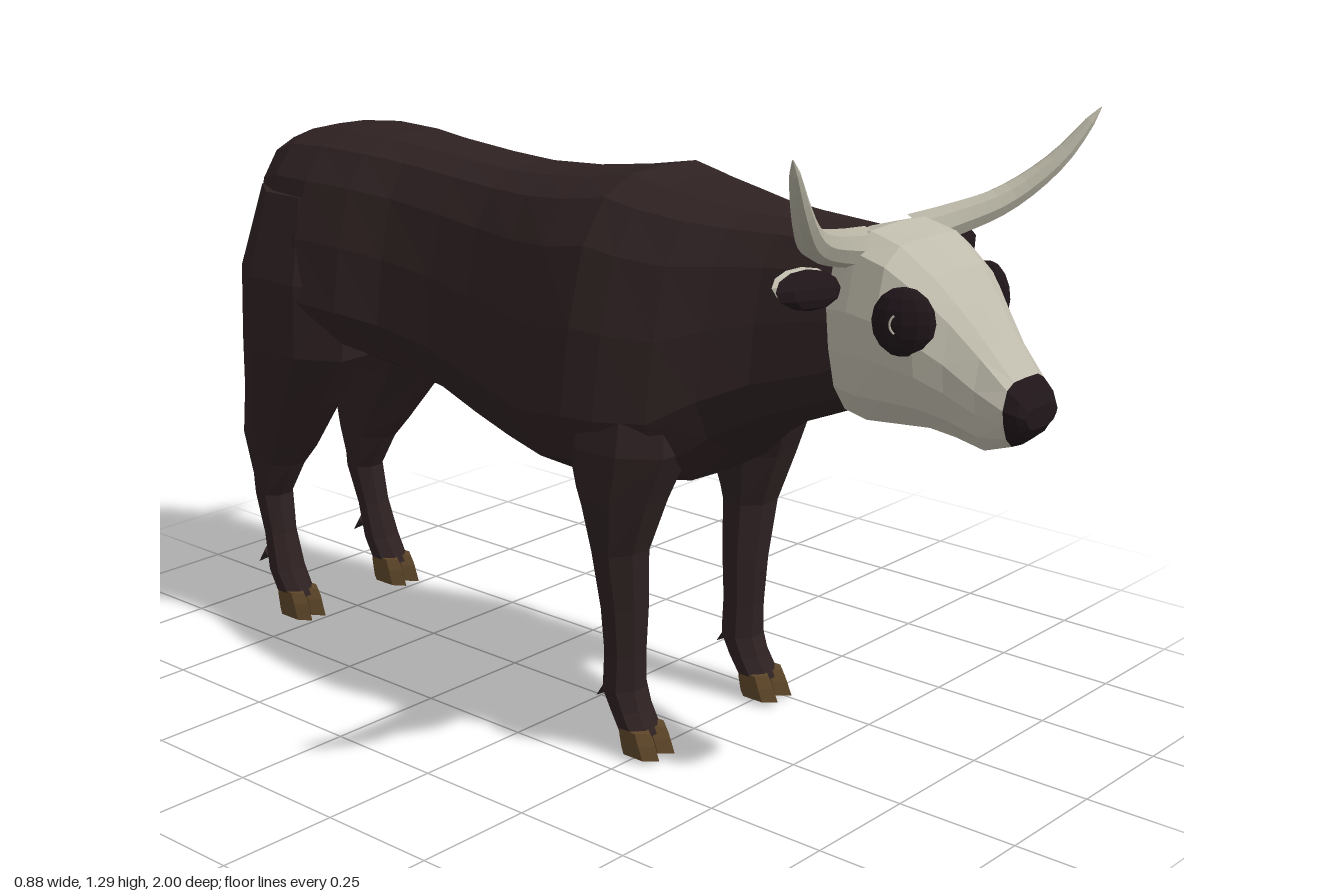
import * as THREE from 'three';

const paint = (name, color) => {
  const m = new THREE.MeshStandardMaterial({ color });
  m.name = name;
  return m;
};

const BODY_X = 0.035; // the trunk sits slightly to one side of the head
const HEAD_X = 0.01;

// Faceted normals
function facet(geo) {
  const g = geo.index ? geo.toNonIndexed() : geo;
  g.computeVertexNormals();
  return g;
}

// Closed skin through rings of points, wound outward
function loft(rings) {
  const n = rings[0].length, tris = [];
  const mid = r => r.reduce((a, p) => a.add(p), new THREE.Vector3()).divideScalar(n);
  const first = rings[0], last = rings[rings.length - 1], c0 = mid(first), c1 = mid(last);
  for (let j = 0; j < n; j++) {
    const k = (j + 1) % n;
    for (let i = 0; i < rings.length - 1; i++) {
      const a = rings[i], b = rings[i + 1];
      tris.push([a[j], a[k], b[k]], [a[j], b[k], b[j]]);
    }
    tris.push([c0, first[k], first[j]], [c1, last[j], last[k]]);
  }
  let volume = 0;
  for (const [a, b, c] of tris) {
    volume += a.clone().sub(c0).dot(b.clone().sub(c0).cross(c.clone().sub(c0)));
  }
  const pts = tris.flatMap(t => (volume < 0 ? [t[0], t[2], t[1]] : t));
  return facet(new THREE.BufferGeometry().setFromPoints(pts));
}

// Ring across z from a half outline of [height fraction, width fraction]
function crossRing([z, top, bottom, hw], outline, cx) {
  const side = s => outline.map(([t, w]) =>
    new THREE.Vector3(cx + s * w * hw, bottom + t * (top - bottom), z));
  return [...side(1), ...side(-1).slice(1, -1).reverse()];
}

// Ring across y for limbs
function limbRing([y, z0, z1, off, hw], s, n = 8) {
  return Array.from({ length: n }, (_, i) => {
    const a = (i + 0.5) / n * Math.PI * 2;
    return new THREE.Vector3(BODY_X + s * off + Math.cos(a) * hw * 1.06, y,
      (z0 + z1) / 2 + Math.sin(a) * (z1 - z0) / 2 * 1.06);
  });
}

// Tube whose radius follows a rule of t
function taperedTube(points, radius, segs, sides) {
  const curve = new THREE.CatmullRomCurve3(points.map(p => new THREE.Vector3(...p)));
  const geo = new THREE.TubeGeometry(curve, segs, 1, sides);
  const pos = geo.attributes.position, v = new THREE.Vector3();
  for (let i = 0; i < pos.count; i++) {
    const t = Math.floor(i / (sides + 1)) / segs, c = curve.getPointAt(t);
    v.fromBufferAttribute(pos, i).sub(c).multiplyScalar(radius(t)).add(c);
    pos.setXYZ(i, v.x, v.y, v.z);
  }
  return facet(geo);
}

export function createModel() {
  const model = new THREE.Group();
  model.name = 'longHornedBull';
  const hide = paint('darkHide', 0x2e2122);
  const pale = paint('paleFace', 0xbfbbac);
  const hornMat = paint('horn', 0xb4b1a1);
  const black = paint('darkSkin', 0x20161a);
  const hoofMat = paint('hoof', 0x5f472a);
  const add = (name, geo, mat, parent = model) => {
    const m = new THREE.Mesh(geo, mat);
    m.name = name;
    parent.add(m);
    return m;
  };

  // Trunk and neck: z, top, bottom, half width
  const trunkOutline = [[1, 0], [0.995, 0.32], [0.94, 0.58], [0.8, 0.78], [0.55, 0.92],
    [0.27, 1], [0.1, 0.82], [0.01, 0.45], [0, 0]];
  const trunk = [
    [0.67, 1.07, 0.78, 0.12], [0.6, 1.075, 0.735, 0.135], [0.47, 1.08, 0.68, 0.16],
    [0.38, 1.085, 0.62, 0.2], [0.3, 1.095, 0.55, 0.25], [0.2, 1.11, 0.535, 0.285],
    [0.13, 1.125, 0.53, 0.297], [0.02, 1.105, 0.515, 0.285], [-0.1, 1.09, 0.525, 0.242],
    [-0.22, 1.085, 0.545, 0.207], [-0.33, 1.09, 0.585, 0.2], [-0.47, 1.1, 0.61, 0.205],
    [-0.57, 1.108, 0.63, 0.235], [-0.69, 1.11, 0.64, 0.25], [-0.8, 1.1, 0.66, 0.233],
    [-0.88, 1.07, 0.68, 0.19], [-0.925, 1.02, 0.72, 0.13]];
  add('trunk', loft(trunk.map(s => crossRing(s, trunkOutline, BODY_X))), hide);

  // Legs: y, back z, front z, sideways offset, half width
  const frontLeg = [
    [0.85, 0.1, 0.3, 0.17, 0.06], [0.63, 0.08, 0.33, 0.19, 0.095], [0.53, 0.11, 0.29, 0.2, 0.08],
    [0.42, 0.145, 0.25, 0.2, 0.061], [0.3, 0.153, 0.242, 0.187, 0.051],
    [0.2, 0.157, 0.237, 0.185, 0.043], [0.13, 0.155, 0.237, 0.185, 0.047],
    [0.09, 0.175, 0.25, 0.185, 0.044], [0.045, 0.205, 0.275, 0.187, 0.044]];
  const hindLeg = [
    [0.98, -0.88, -0.62, 0.12, 0.09], [0.8, -0.92, -0.575, 0.148, 0.106],
    [0.64, -0.92, -0.59, 0.16, 0.09], [0.52, -0.935, -0.68, 0.155, 0.073],
    [0.4, -0.975, -0.77, 0.14, 0.051], [0.35, -0.965, -0.815, 0.138, 0.046],
    [0.27, -0.943, -0.862, 0.138, 0.041], [0.18, -0.912, -0.85, 0.142, 0.036],
    [0.1, -0.895, -0.825, 0.145, 0.04], [0.045, -0.87, -0.79, 0.145, 0.038]];

  for (const s of [-1, 1]) {
    const side = s > 0 ? 'left' : 'right';
    for (const [kind, rows, ground] of [['Front', frontLeg, 0.008], ['Hind', hindLeg, 0]]) {
      const leg = new THREE.Group();
      leg.name = side + kind + 'Leg';
      model.add(leg);
      add('limb', loft(rows.map(r => limbRing(r, s))), hide, leg);
      const [, z0, z1, off, hw] = rows[rows.length - 1];
      for (const t of [-1, 1]) {
        // Cloven hoof
        const x = off + t * hw * 0.53;
        add('toe', loft([
          limbRing([0.058, z0, z1 + 0.004, x, hw * 0.49], s, 6),
          limbRing([0.035, z0 + 0.002, z1 + 0.018, x, hw * 0.55], s, 6),
          limbRing([ground, z0 + 0.008, z1 + 0.03, x, hw * 0.54], s, 6)]), hoofMat, leg);
        // Dewclaw
        const claw = add('dewclaw', facet(new THREE.ConeGeometry(0.014, 0.05, 5)), hide, leg);
        claw.position.set(BODY_X + s * (off + t * 0.02), 0.115, z0 - 0.045);
        claw.rotation.x = -2.3;
      }
    }
  }

  // Tail, swung to the left and thicker at the tuft
  add('tail', taperedTube(
    [[0.035, 1.05, -0.88], [0.05, 0.99, -0.945], [0.07, 0.87, -0.962], [0.13, 0.73, -0.97],
      [0.24, 0.63, -0.978], [0.365, 0.582, -0.985]],
    t => (t < 0.6 ? 0.02 - 0.01 * t : t < 0.85 ? 0.014 + (t - 0.6) * 0.03 : 0.0215 * (1 - t) / 0.15),
    20, 6), hide);

  // Head
  const head = new THREE.Group();
  head.name = 'head';
  model.add(head);
  const headOutline = [[1, 0], [0.99, 0.55], [0.9, 0.84], [0.62, 1], [0.4, 0.93],
    [0.18, 0.78], [0.03, 0.5], [0, 0]];
  const skull = [
    [0.635, 1.085, 0.75, 0.13], [0.69, 1.1, 0.742, 0.148], [0.755, 1.083, 0.75, 0.155],
    [0.82, 1.035, 0.755, 0.137], [0.865, 0.985, 0.745, 0.108], [0.915, 0.925, 0.73, 0.083],
    [0.965, 0.868, 0.748, 0.07]];
  const muzzle = [[0.965, 0.868, 0.748, 0.07], [0.988, 0.845, 0.768, 0.063], [1, 0.825, 0.785, 0.05]];
  const headRings = rows => loft(rows.map(r => crossRing(r, headOutline, HEAD_X)));
  add('face', headRings(skull), pale, head);
  add('nose', headRings(muzzle), black, head);

  for (const s of [-1, 1]) {
    const side = s > 0 ? 'left' : 'right';

    // Horn sweeping out, forward and up
    const lift = s > 0 ? -0.01 : 0.01;
    add(side + 'Horn', taperedTube(
      [[0.07, 1.062, 0.665], [0.16, 1.075, 0.68], [0.28, 1.11, 0.725], [0.37, 1.18, 0.775],
        [0.44, 1.275, 0.815]].map(([x, y, z], i) =>
        [s * x + HEAD_X * (1 - i / 4), y + lift * i / 4, z - lift * 1.8 * i / 4]),
      t => 0.036 * Math.pow(1 - t, 0.55) + 0.001, 14, 8), hornMat, head);

    // Ear: dark inside, pale upper back
    const ear = new THREE.Group();
    ear.name = side + 'Ear';
    ear.position.set(HEAD_X + s * 0.215, 1.01, 0.66);
    ear.rotation.set(-0.25, 0, s * 0.12);
    head.add(ear);
    const leaf = facet(new THREE.SphereGeometry(1, 8, 6));
    add('innerEar', leaf, black, ear).scale.set(0.09, 0.036, 0.022);
    const back = add('outerEar', leaf, pale, ear);
    back.scale.set(0.086, 0.032, 0.019);
    back.position.set(0, 0.009, -0.011);

    // Dark eye patch with a thin pale glint
    const eye = new THREE.Group();
    eye.name = side + 'Eye';
    eye.position.set(HEAD_X + s * 0.132, 0.962, 0.8);
    eye.rotation.set(0, s * 1.15, 0);
    head.add(eye);
    add('eyePatch', facet(new THREE.SphereGeometry(1, 12, 8)), black, eye).scale.set(0.056, 0.062, 0.026);
    const glint = add('glint', new THREE.TorusGeometry(0.02, 0.002, 4, 8, 1.9), pale, eye);
    glint.position.set(0, 0, 0.0235);
    glint.rotation.z = s > 0 ? -0.95 : 2.2;
  }
  return model;
}
